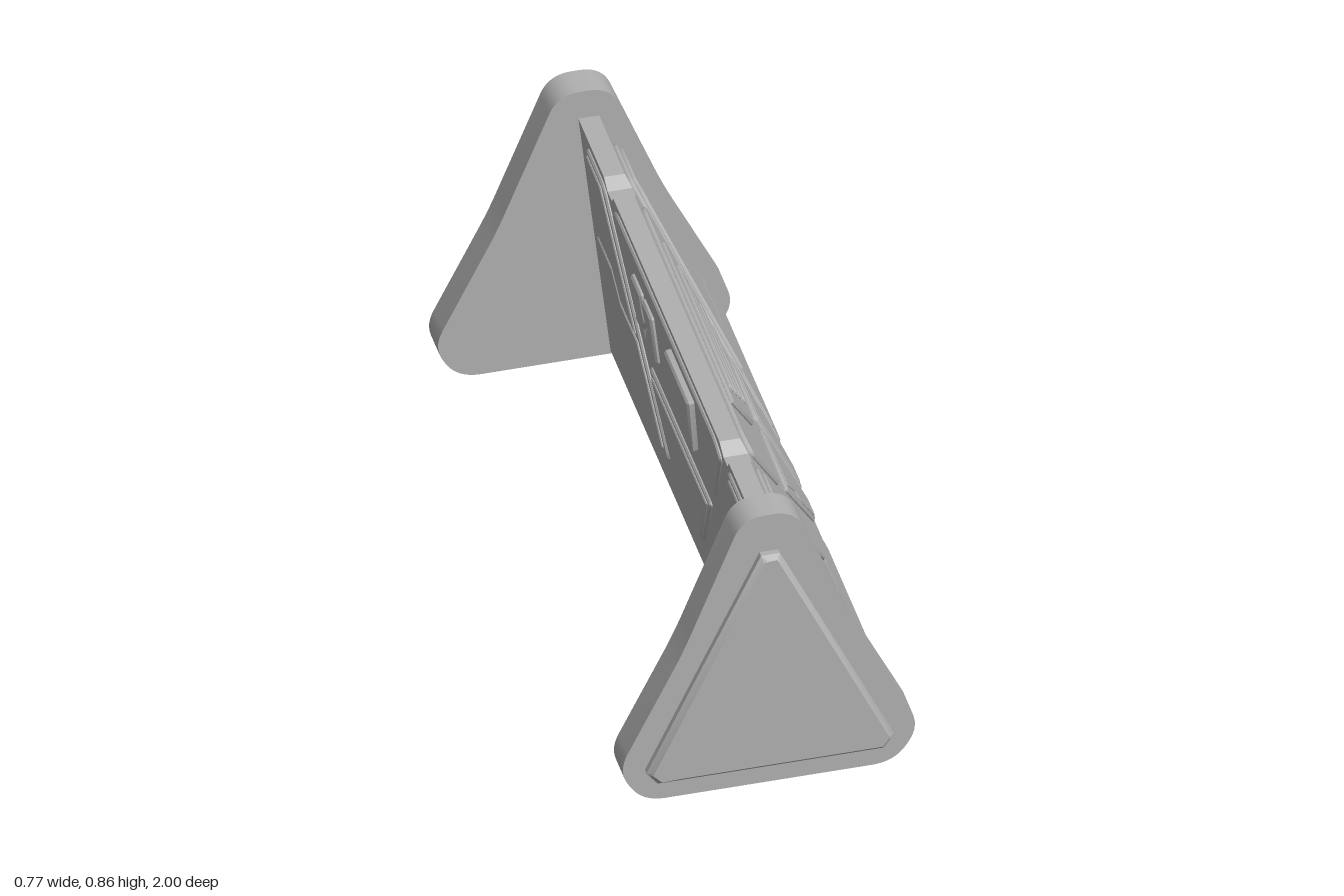
import * as THREE from 'three';
import { toCreasedNormals } from 'three/addons/utils/BufferGeometryUtils.js';

const grey = new THREE.MeshStandardMaterial({ color: 0xb0b0b0 });
grey.name = 'plain grey';

// Closed outline with each corner cut back by r and rounded
function outline(points, r, Type = THREE.Shape) {
  const p = points.map(([x, y]) => new THREE.Vector2(x, y));
  const s = new Type();
  p.forEach((c, i) => {
    const toward = (q) => c.clone().add(
      q.clone().sub(c).setLength(Math.min(r, q.distanceTo(c) * 0.45)));
    const a = toward(p[(i + p.length - 1) % p.length]);
    const b = toward(p[(i + 1) % p.length]);
    if (i === 0) s.moveTo(a.x, a.y); else s.lineTo(a.x, a.y);
    s.quadraticCurveTo(c.x, c.y, b.x, b.y);
  });
  s.closePath();
  return s;
}

// Plate rising h above its own plane, with a single-step bevel
function plate(shape, h, bevel, curveSegments = 4) {
  const g = new THREE.ExtrudeGeometry(shape, {
    depth: h - bevel, curveSegments, bevelEnabled: bevel > 0,
    bevelThickness: bevel, bevelSize: bevel, bevelOffset: -bevel, bevelSegments: 1,
  });
  return toCreasedNormals(g, 0.5);
}

function add(parent, geometry, name) {
  const m = new THREE.Mesh(geometry, grey);
  m.name = name;
  parent.add(m);
  return m;
}

const flip = (pts) => pts.map(([z, y]) => [-z, y]);
const bothX = (pts) => [...pts, ...flip(pts).reverse()];

// Rounded triangular end with a raised bevelled panel
function endSupport(name) {
  const g = new THREE.Group();
  g.name = name;
  const edge = outline(bothX([[0.07, 0.855], [0.23, 0.45], [0.4, 0.105], [0.333, 0]]), 0.06);
  add(g, plate(edge, 0.09, 0, 8), 'endPlate').position.z = 0.88;
  const tri = outline(bothX([[0.025, 0.74], [0.328, 0.1], [0.298, 0.062]]), 0.001);
  add(g, plate(tri, 0.03, 0.014, 1), 'endPanel').position.z = 0.97;
  return g;
}

// Wall body: one cross-section swept along z, its top dipping at two notches
function wallGeometry() {
  const half = [[0.53, 0.77], [0.56, 0.74], [0.6, 0.74], [0.625, 0.77], [0.9, 0.77]];
  const stations = [...flip(half).reverse(), ...half];
  const section = (h) => [[0.07, 0.01], [0.3, 0.01], [0.36, 0.1],
    [0.36 - (h - 0.1) * 0.4776, h], [-0.015 + (0.77 - h) * 0.112, h]];
  const pos = [];
  for (let k = 0; k + 1 < stations.length; k++) {
    const [z0, h0] = stations[k], [z1, h1] = stations[k + 1];
    const s0 = section(h0), s1 = section(h1);
    for (let i = 0; i < 5; i++) {
      const j = (i + 1) % 5;
      const a = [...s0[i], z0], b = [...s0[j], z0], c = [...s1[j], z1], d = [...s1[i], z1];
      pos.push(...a, ...b, ...c, ...a, ...c, ...d);
    }
  }
  const g = new THREE.BufferGeometry();
  g.setAttribute('position', new THREE.Float32BufferAttribute(pos, 3));
  g.computeVertexNormals();
  return g;
}

// Group lying on a wall face; put() takes outlines as [z, y] pairs
function wallFace(name, side, x0, slope) {
  const g = new THREE.Group();
  g.name = name;
  const up = new THREE.Vector3(slope, 1, 0).normalize();
  const right = new THREE.Vector3(0, 0, -side);
  const normal = right.clone().cross(up);
  g.quaternion.setFromRotationMatrix(new THREE.Matrix4().makeBasis(right, up, normal));
  g.position.x = x0;
  const map = (pts) => pts.map(([z, y]) => [-side * z, y / up.y]);
  const put = (label, pts, base, h, r = 0.015, hole = null) => {
    const s = outline(map(pts), r);
    if (hole) s.holes.push(outline(map(hole), 0.008, THREE.Path));
    add(g, plate(s, h, Math.min(0.006, h * 0.6)), label).position.z = base;
  };
  return { g, put };
}

const sidePanel = [[0.8, 0.745], [0.62, 0.745], [0.215, 0.155], [0.235, 0.13], [0.8, 0.13]];
const upperPanel = bothX([[0.49, 0.75], [0.545, 0.72], [0.385, 0.48]]);

function outerFace() {
  const { g, put } = wallFace('outerFace', 1, 0.36 + 0.1 * 0.4776, -0.4776);
  for (const m of [(p) => p, flip]) {
    // Tall slanted panel with stepped layers
    put('sidePanel', m(sidePanel), 0, 0.008, 0.03);
    put('sidePanelUpper', m([[0.78, 0.73], [0.64, 0.73], [0.625, 0.69], [0.605, 0.68],
      [0.34, 0.3], [0.49, 0.3], [0.595, 0.43], [0.78, 0.43]]), 0.008, 0.008, 0.006);
    put('sidePanelStep', m([[0.78, 0.425], [0.605, 0.425], [0.505, 0.3], [0.78, 0.3]]), 0.008, 0.004, 0.004);
    put('sidePanelLower', m([[0.78, 0.29], [0.33, 0.29], [0.25, 0.175], [0.265, 0.155],
      [0.34, 0.155], [0.36, 0.17], [0.39, 0.17], [0.41, 0.155], [0.78, 0.155]]), 0.008, 0.003, 0.012);
    // Lower middle pair
    put('lowerPanel', m([[0.3, 0.395], [0.02, 0.395], [0.02, 0.13], [0.11, 0.13]]), 0, 0.01, 0.02);
    put('lowerPanelInset', m([[0.27, 0.385], [0.035, 0.385], [0.035, 0.145], [0.11, 0.145],
      [0.2, 0.275], [0.19, 0.3]]), 0.01, 0.003, 0.01);
  }
  // Upper middle panel with vent bars
  put('upperPanel', upperPanel, 0, 0.01, 0.025);
  put('ventPanel', bothX([[0.355, 0.745], [0.22, 0.555]]), 0.01, 0.01, 0.008);
  [[0.715, 0.27], [0.675, 0.235], [0.635, 0.2], [0.59, 0.165]].forEach(([y, w]) =>
    put('ventBar', bothX([[w, y + 0.012], [w, y - 0.012]]), 0.02, 0.008, 0.011));
  return g;
}

function innerFace() {
  const { g, put } = wallFace('innerFace', -1, -0.015 + 0.77 * 0.112, -0.112);
  for (const m of [(p) => p, flip]) {
    put('sidePanel', m(sidePanel), 0, 0.008, 0.03);
    put('sidePanelUpper', m([[0.78, 0.73], [0.64, 0.73], [0.42, 0.41], [0.56, 0.41],
      [0.62, 0.48], [0.78, 0.48]]), 0.008, 0.005, 0.006);
    put('sidePanelLower', m([[0.78, 0.465], [0.63, 0.465], [0.57, 0.395], [0.41, 0.395],
      [0.25, 0.165], [0.265, 0.15], [0.78, 0.15]]), 0.008, 0.005, 0.006);
  }
  put('upperPanel', upperPanel, 0, 0.008, 0.025);
  put('lowerPanel', bothX([[0.31, 0.395], [0.12, 0.13]]), 0, 0.008, 0.025);
  put('lowerPanelInset', bothX([[0.28, 0.38], [0.12, 0.15]]), 0.008, 0.005, 0.015);
  // Framed display with two buttons
  put('displayFrame', [[0.05, 0.72], [0.29, 0.72], [0.25, 0.53], [0.09, 0.53]], 0.008, 0.02, 0.008,
    [[0.09, 0.695], [0.25, 0.695], [0.22, 0.57], [0.12, 0.57]]);
  for (const z of [0.145, 0.195]) {
    put('button', [[z - 0.014, 0.52], [z + 0.014, 0.52], [z + 0.014, 0.495], [z - 0.014, 0.495]], 0.008, 0.008, 0.011);
  }
  // Small cover split by a zigzag gap
  put('coverHalf', [[-0.33, 0.68], [-0.235, 0.68], [-0.235, 0.63], [-0.215, 0.6], [-0.235, 0.57],
    [-0.235, 0.53], [-0.33, 0.53]], 0.008, 0.012, 0.006);
  put('coverHalf', [[-0.13, 0.68], [-0.22, 0.68], [-0.22, 0.63], [-0.2, 0.6], [-0.22, 0.57],
    [-0.22, 0.53], [-0.13, 0.53]], 0.008, 0.012, 0.006);
  return g;
}

export function createModel() {
  const model = new THREE.Group();
  model.name = 'barricade';
  const back = endSupport('backSupport');
  back.rotation.y = Math.PI;
  model.add(endSupport('frontSupport'), back);
  add(model, wallGeometry(), 'wall');
  model.add(outerFace(), innerFace());
  return model;
}
